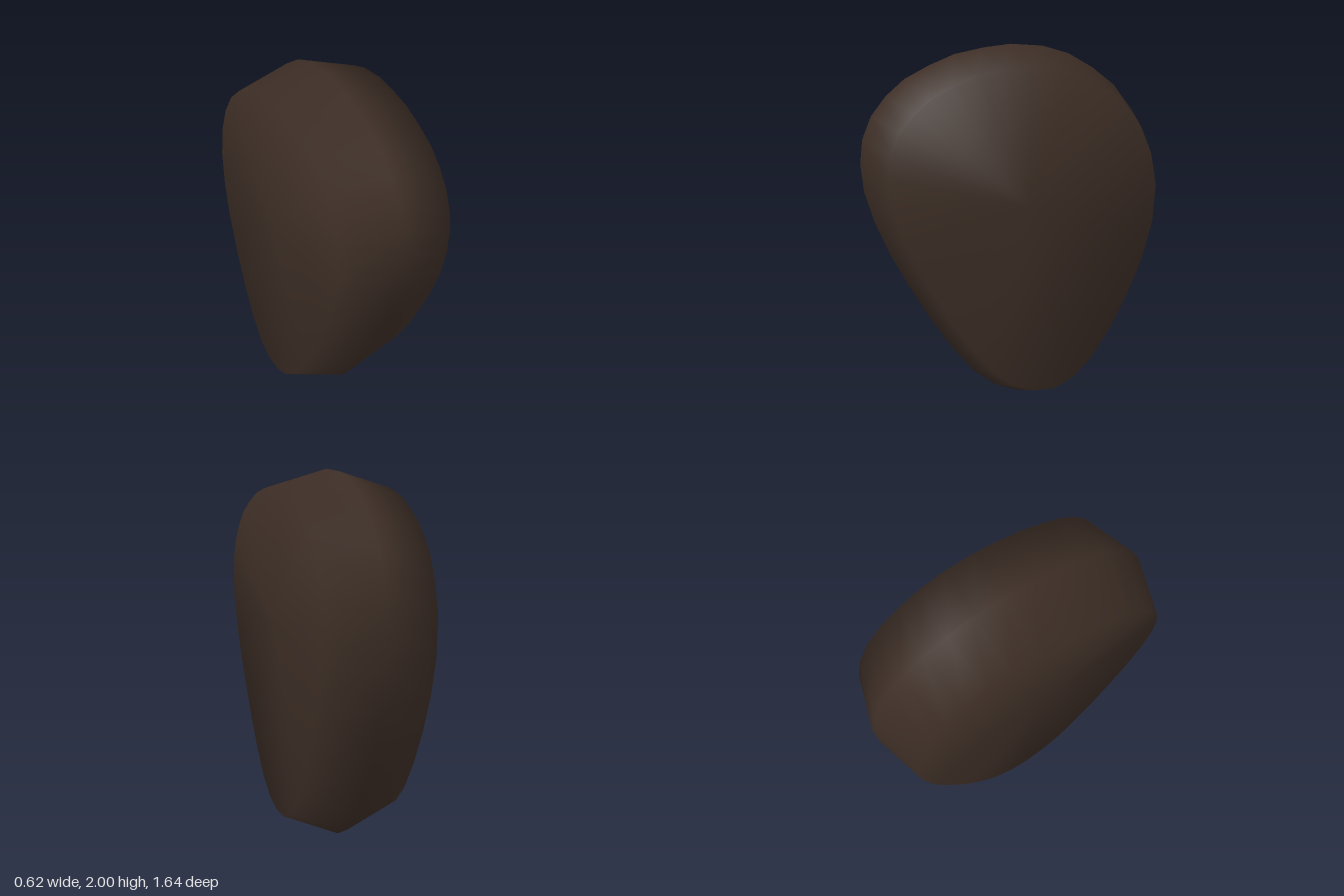
import * as THREE from 'three';

// Outline of the widest ring as [z, y], clockwise seen from +x
const OUTLINE = [
  [0, 2], [-0.18, 1.985], [-0.33, 1.94], [-0.47, 1.86], [-0.6, 1.76], [-0.71, 1.62], [-0.78, 1.46], [-0.82, 1.26],
  [-0.805, 1.03], [-0.745, 0.8], [-0.65, 0.57], [-0.54, 0.36], [-0.42, 0.18], [-0.3, 0.06], [-0.17, 0], [-0.04, 0.005],
  [0.09, 0.055], [0.22, 0.16], [0.34, 0.31], [0.46, 0.49], [0.58, 0.7], [0.68, 0.89], [0.76, 1.08], [0.81, 1.25],
  [0.825, 1.4], [0.81, 1.53], [0.76, 1.65], [0.68, 1.75], [0.58, 1.835], [0.45, 1.9], [0.31, 1.955], [0.15, 1.985],
];
const CENTRE_Y = 1.18;
const HALF_WIDTH = 0.31;

// Three rings across x (narrow, full, narrow), closed by flat fan caps
function pebbleGeometry() {
  const n = OUTLINE.length;
  const rings = [[-HALF_WIDTH, 0.89], [0, 1], [HALF_WIDTH, 0.89]];
  const positions = [];
  const index = [];

  for (const [x, s] of rings) {
    for (const [z, y] of OUTLINE) positions.push(x, CENTRE_Y + (y - CENTRE_Y) * s, z * s);
  }
  const leftCentre = 3 * n + 1;
  const rightCentre = 3 * n;
  positions.push(-HALF_WIDTH, CENTRE_Y, 0, HALF_WIDTH, CENTRE_Y, 0);

  for (let i = 0; i < n; i++) {
    const j = (i + 1) % n;
    // Bevelled rim
    for (let k = 0; k < 2; k++) {
      const a = k * n + i, b = k * n + j;
      index.push(a, a + n, b, b, a + n, b + n);
    }
    // Flat side caps
    index.push(rightCentre, i, j);
    index.push(leftCentre, 2 * n + j, 2 * n + i);
  }

  const geometry = new THREE.BufferGeometry();
  geometry.setAttribute('position', new THREE.Float32BufferAttribute(positions, 3));
  geometry.setIndex(index);
  geometry.computeVertexNormals();
  return geometry;
}

export function createModel() {
  const group = new THREE.Group();
  const body = new THREE.Mesh(pebbleGeometry(), new THREE.MeshStandardMaterial({ color: 0x3d2e26 }));
  body.name = 'body';
  group.add(body);
  return group;
}
